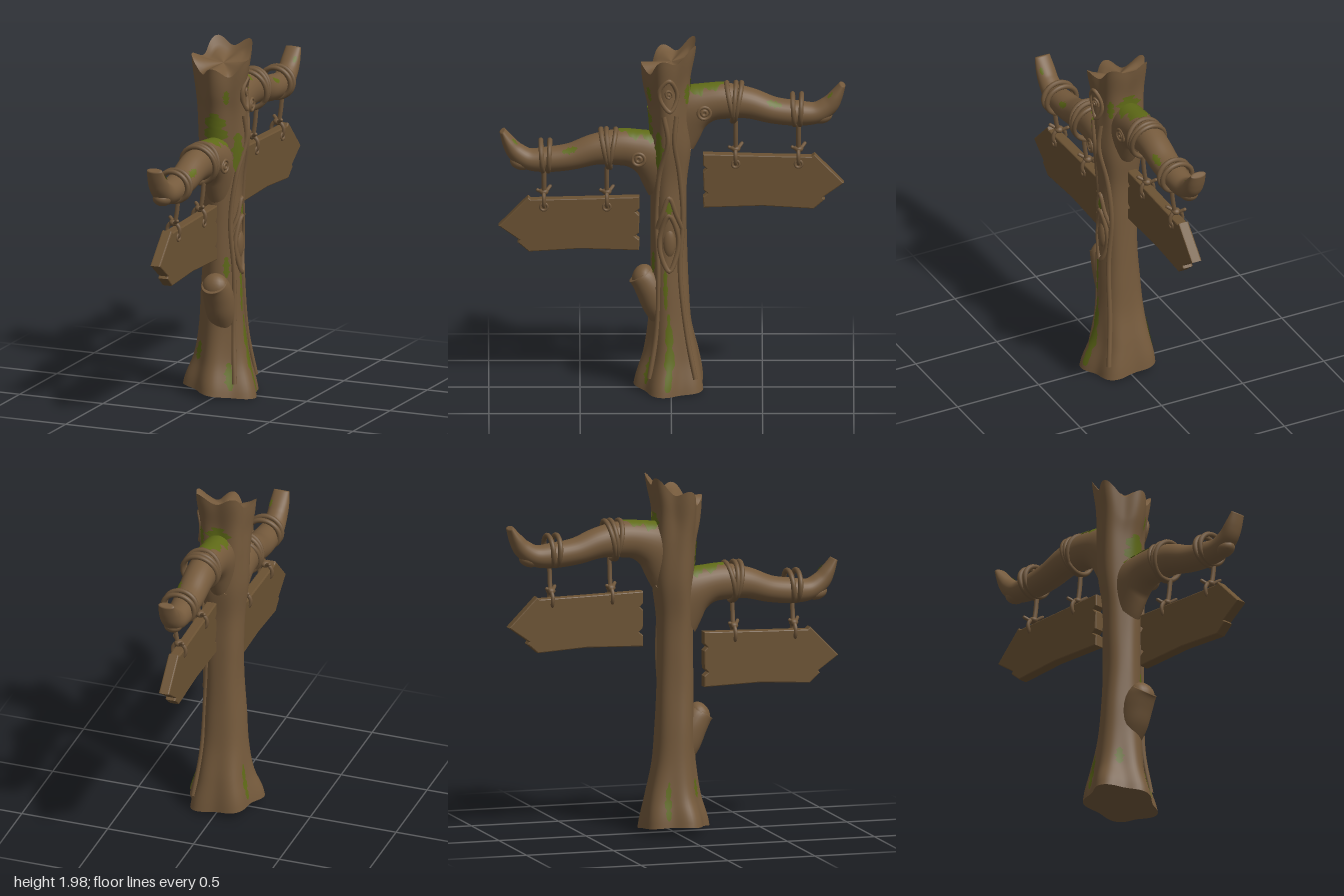
import * as THREE from 'three';

const mat = (name, color, side = THREE.FrontSide) => {
  const m = new THREE.MeshStandardMaterial({ color, side });
  m.name = name;
  return m;
};

// Catmull-Rom interpolation of evenly spaced rows, t from 0 to 1
function sample(rows, t) {
  const n = rows.length - 1, f = Math.min(Math.max(t, 0), 1) * n, i = Math.min(Math.floor(f), n - 1), s = f - i;
  const r = k => rows[Math.min(Math.max(k, 0), n)];
  return rows[0].map((_, c) => {
    const a = r(i - 1)[c], b = r(i)[c], d = r(i + 1)[c], e = r(i + 2)[c];
    return b + 0.5 * s * (d - a + s * (2 * a - 5 * b + 4 * d - e + s * (3 * (b - d) + e - a)));
  });
}

// Surface from fn(u, v); wrap joins the last column to the first
function surface(fn, nu, nv, wrap = true) {
  const pos = [], idx = [], cols = wrap ? nu : nu + 1;
  for (let j = 0; j <= nv; j++)
    for (let i = 0; i < cols; i++) pos.push(...fn(i / nu, j / nv).toArray());
  for (let j = 0; j < nv; j++)
    for (let i = 0; i < nu; i++) {
      const a = j * cols + i, b = j * cols + (i + 1) % cols, d = a + cols, c = b + cols;
      idx.push(a, d, b, b, d, c);
    }
  const g = new THREE.BufferGeometry();
  g.setAttribute('position', new THREE.Float32BufferAttribute(pos, 3));
  g.setIndex(idx);
  g.computeVertexNormals();
  return g;
}

// Trunk extents every 0.2 in height: xMin, xMax, zMin, zMax
const trunkRows = [
  [-0.22, 0.22, -0.2, 0.21], [-0.17, 0.16, -0.165, 0.155], [-0.135, 0.13, -0.118, 0.125], [-0.12, 0.12, -0.1, 0.118],
  [-0.107, 0.112, -0.092, 0.115], [-0.107, 0.115, -0.09, 0.112], [-0.112, 0.118, -0.092, 0.115], [-0.135, 0.14, -0.115, 0.115],
  [-0.145, 0.145, -0.115, 0.125], [-0.155, 0.155, -0.12, 0.15], [-0.172, 0.182, -0.155, 0.168]];
const step = THREE.MathUtils.smoothstep;

function trunk(th, y, off = 0) {
  const [x0, x1, z0, z1] = sample(trunkRows, y / 2), c = Math.cos(th), s = Math.sin(th);
  const lobe = 1 - Math.cos(5 * (th - Math.PI / 2));
  const depth = 0.025 + 0.06 * (1 - step(y, 0, 0.5)) + 0.07 * step(y, 1.4, 2);
  const k = 1 - depth * lobe + 0.015 * Math.sin(3 * th + 9 * y);
  const rim = step(y, 1.55, 2) * (-0.065 - 0.065 * s - 0.03 * lobe);
  const foot = (1 - step(y, 0, 0.3)) * (0.03 - 0.025 * c);
  return new THREE.Vector3((x0 + x1) / 2 + c * ((x1 - x0) / 2 * k + off), y + rim + foot,
    (z0 + z1) / 2 + s * ((z1 - z0) / 2 * k + off));
}

// Branch centre line: z, y, vertical radius, sideways radius
const branchRows = [
  [0, 1.25, 0.19, 0.09], [0.1, 1.33, 0.14, 0.095], [0.2, 1.37, 0.107, 0.09], [0.3, 1.38, 0.1, 0.086],
  [0.42, 1.367, 0.086, 0.084], [0.55, 1.327, 0.074, 0.08], [0.68, 1.31, 0.07, 0.073], [0.78, 1.312, 0.06, 0.065],
  [0.85, 1.355, 0.052, 0.058], [0.89, 1.41, 0.038, 0.055], [0.925, 1.475, 0.018, 0.045]];

// Point on a branch; sign is +1 for the front one and -1 for the back one
function branch(sign, phi, t, off = 0, shrink = 1) {
  const at = q => {
    const [z, y, r, w] = sample(branchRows, q);
    return sign > 0 ? [z, y, r, w] : [-1.015 * z, y + 0.265, r, w];
  };
  const [z, y, r, w] = at(t), [za, ya] = at(Math.max(t - 0.02, 0)), [zb, yb] = at(Math.min(t + 0.02, 1));
  const len = Math.hypot(zb - za, yb - ya), tz = (zb - za) / len, ty = (yb - ya) / len;
  const h = (r * shrink + off) * Math.sin(phi);
  return new THREE.Vector3((w * shrink + off) * Math.cos(phi), y - tz * h, z + ty * h);
}

export function createModel() {
  const model = new THREE.Group();
  const bark = mat('bark brown', 0x755a3c), plank = mat('plank brown', 0x6b5233);
  const rope = mat('rope brown', 0x6e5539), moss = mat('moss green', 0x5f6a17, THREE.DoubleSide);
  const TAU = Math.PI * 2;
  const add = (name, geo, material, parent = model) => {
    const m = new THREE.Mesh(geo, material);
    m.name = name;
    parent.add(m);
    return m;
  };
  const ball = (name, material, p, s, parent = model) => {
    const m = add(name, new THREE.SphereGeometry(1, 20, 14), material, parent);
    m.position.set(...p);
    m.scale.set(...s);
    return m;
  };

  // Trunk with a hollowed jagged top and a closed underside
  add('trunk', surface((u, v) => trunk(u * TAU, v * 2), 80, 70), bark);
  add('trunkTop', surface((u, v) => {
    const p = trunk(u * TAU, 2);
    return p.lerp(new THREE.Vector3(0, 1.87, 0), v).setY(THREE.MathUtils.lerp(trunk(u * TAU, 2).y, 1.87, Math.sqrt(v)));
  }, 80, 6), bark);
  add('trunkUnderside', surface((u, v) => new THREE.Vector3(0, 0.04, 0).lerp(trunk(u * TAU, 0), v), 80, 2), bark);

  // Cut stub low on the front
  const stubRows = [[0.03, 0.36, 0.06], [0.07, 0.47, 0.082], [0.105, 0.57, 0.085], [0.14, 0.635, 0.078], [0.165, 0.66, 0.07]];
  add('stub', surface((u, v) => {
    const [z, y, r] = sample(stubRows, Math.min(v / 0.85, 1)), k = v > 0.86 ? (1 - v) / 0.15 : 1, a = u * TAU;
    const tilt = 0.75 * v, d = -r * k * Math.sin(a);
    return new THREE.Vector3(0.02 + r * k * Math.cos(a), y + d * Math.sin(tilt), z + 0.01 * v - d * Math.cos(tilt));
  }, 28, 20), bark);
  const stubEnd = ball('stubEnd', bark, [0.02, 0.64, 0.155], [0.075, 0.075, 0.06]);
  stubEnd.rotation.x = -0.3;

  // Raised carving lines on the right-hand view side of the trunk, as [angle, height]
  const ridge = (name, pts, r = 0.012, closed = false) => {
    const curve = new THREE.CatmullRomCurve3(pts.map(([a, y]) => trunk(a, y, 0.002)), closed);
    add(name, new THREE.TubeGeometry(curve, 50, r, 8, closed), bark);
  };
  ridge('lowerDiamond', [[0, 0.7], [0.45, 0.8], [0.5, 0.9], [0, 1.02], [-0.5, 0.9], [-0.45, 0.8]], 0.014, true);
  ridge('upperAlmond', [[0, 1.63], [0.38, 1.72], [0.36, 1.8], [0, 1.88], [-0.36, 1.8], [-0.38, 1.72]], 0.012, true);
  ridge('chevron', [[0.75, 0.94], [0.4, 1.02], [0, 1.12], [-0.4, 1.02], [-0.75, 0.94]], 0.013);
  ridge('curl', Array.from({ length: 14 }, (_, i) => [0.02 * i * 0.7 * Math.cos(i * 0.75), 1.76 + 0.0035 * i * Math.sin(i * 0.75)]), 0.007);
  for (const s of [1, -1]) ridge('barkRidge', [[s * 0.3, 1.6], [s * 0.15, 1.45], [s * 0.55, 1.25], [s * 0.8, 1.0], [s * 0.6, 0.7], [s * 0.7, 0.35], [s * 0.8, 0.08]], 0.014);
  const core = trunk(0, 0.86);
  ball('diamondCore', bark, [core.x - 0.012, 0.86, core.z], [0.025, 0.085, 0.035]);

  // Moss patches following a surface
  const patch = (name, surf, centre, half, v0, v1, seed) => add(name, surface((u, v) => {
    const w = Math.sqrt(Math.sin(Math.PI * (0.02 + 0.96 * v))) * (0.75 + 0.2 * Math.sin(v * 19 + seed) + 0.12 * Math.sin(v * 41 + seed));
    return surf(centre + (2 * u - 1) * half * w, v0 + (v1 - v0) * v, 0.005);
  }, 12, 30, false), moss);
  [[Math.PI / 2, 0.6, 1.4, 1.62], [-Math.PI / 2, 0.55, 1.62, 1.82], [0.62, 0.3, 1.28, 1.5], [0.2, 0.13, 0.48, 0.72],
    [0.08, 0.2, 0.03, 0.46], [0.95, 0.2, 0.04, 0.2], [2.3, 0.2, 0.19, 0.31], [3.6, 0.14, 0.04, 0.3], [0, 0.22, 1.02, 1.1],
    [1.0, 0.2, 0.68, 0.8], [1.05, 0.16, 1.72, 1.9], [-0.85, 0.17, 1.66, 1.78]
  ].forEach(([c, h, a, b], i) => patch('trunkMoss', trunk, c, h, a, b, i * 1.7));

  // Plank outline: distance along the branch, height
  const outline = [[0.175, 1.105], [0.175, 1.04], [0.195, 1.02], [0.175, 1], [0.178, 0.9], [0.2, 0.88], [0.175, 0.86], [0.177, 0.8],
    [0.5, 0.81], [0.78, 0.793], [0.84, 0.845], [0.83, 0.858], [0.945, 0.94], [0.785, 1.103], [0.77, 1.09], [0.5, 1.096]];

  for (const sign of [1, -1]) {
    const side = new THREE.Group();
    side.name = sign > 0 ? 'frontArm' : 'backArm';
    model.add(side);
    const top = -sign * Math.PI / 2, lift = sign > 0 ? 0 : 0.265, drop = sign > 0 ? 0 : 0.245;

    // Branch with upturned tip and a broken lower fork
    add('branch', surface((u, v) => branch(sign, u * TAU, Math.min(v / 0.96, 1), 0, v > 0.965 ? (1 - v) / 0.04 : 1), 32, 75), bark, side);
    const fork = ball('brokenFork', bark, [0, 1.292 + lift, sign * 0.825], [0.05, 0.04, 0.06], side);
    fork.rotation.x = -sign * 0.25;
    const on = (phi, t, off) => branch(sign, phi, t, off);
    patch('branchMoss', on, top, 1.0, 0.07, 0.29, sign);
    patch('branchMoss', on, top + sign * 0.85, 0.3, 0.46, 0.53, 3);
    patch('branchMoss', on, top + sign * 0.7, 0.25, 0.86, 0.92, 5);

    // Curled knot on the branch root
    const knotAt = branch(sign, sign * 0.25, 0.17);
    for (const r of [0.034, 0.014]) {
      const ring = add('branchKnot', new THREE.TorusGeometry(r, 0.009, 8, 24), bark, side);
      ring.position.copy(knotAt);
      ring.rotation.y = Math.PI / 2 - sign * 0.1;
    }

    // Hanging plank
    const shape = new THREE.Shape(outline.map(([z, y]) => new THREE.Vector2(sign * z, y + drop)));
    const geo = new THREE.ExtrudeGeometry(shape, { depth: 0.044, bevelThickness: 0.008, bevelSize: 0.006, bevelOffset: -0.005, bevelSegments: 2 });
    geo.rotateY(-Math.PI / 2).translate(0.034, 0, 0);
    add('plank', geo, plank, side);

    // Two rope lashings, each with a cord, loop and knot
    [[0.345, 0.108, 0.1, 0.2, 1.378], [0.69, 0.085, 0.09, 0.06, 1.335]].forEach(([z, ry, rx, tilt, y]) => {
      const lash = new THREE.Group();
      lash.name = 'ropeLashing';
      lash.position.set(0.012, y + lift, sign * z);
      side.add(lash);
      for (const k of [-1, 0, 1]) {
        if (k === 0 && tilt < 0.1) continue;
        const ring = add('ropeRing', new THREE.TorusGeometry(ry, 0.014, 10, 40), rope, lash);
        ring.scale.x = rx / ry;
        ring.position.z = k * 0.02;
        ring.rotation.x = k * tilt + (k ? 0 : 0.1 * sign);
      }
      const holeY = 1.055 + drop, zc = sign * (z + 0.008), upper = y + lift - ry + 0.01;
      const curve = new THREE.CatmullRomCurve3([[0.04, upper], [0.032, (upper + holeY) / 2 + 0.03], [0.02, holeY + 0.07]]
        .map(([x, h]) => new THREE.Vector3(x, h, zc)));
      add('ropeCord', new THREE.TubeGeometry(curve, 12, 0.013, 8), rope, side);
      const loop = add('ropeLoop', new THREE.TorusGeometry(0.038, 0.011, 8, 28), rope, side);
      loop.position.set(0.012, holeY + 0.03, zc);
      loop.scale.y = 1.15;
      const hole = add('ropeHole', new THREE.TorusGeometry(0.02, 0.007, 8, 20), rope, side);
      hole.position.set(0.042, holeY - 0.005, zc);
      hole.rotation.y = Math.PI / 2;
      ball('ropeKnot', rope, [0.014, holeY + 0.075, zc], [0.026, 0.02, 0.026], side);
      for (const k of [-1, 1]) {
        const tail = add('ropeTail', new THREE.CapsuleGeometry(0.01, 0.04, 4, 8), rope, side);
        tail.position.set(0.014 + k * 0.022, holeY + 0.085, zc + k * 0.024);
        tail.rotation.set(k * 0.8, 0, -k * 0.8);
      }
    });
  }
  return model;
}
